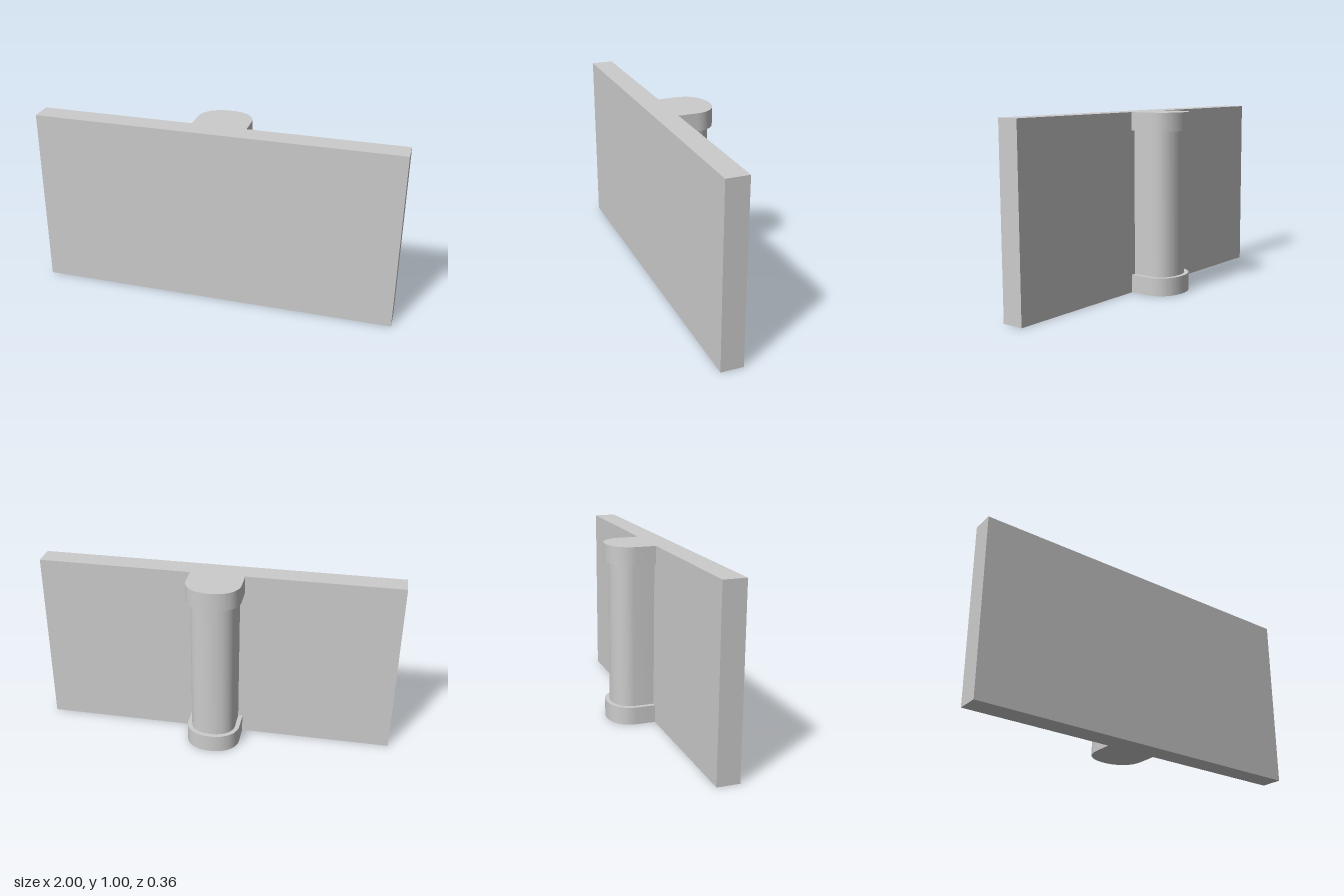
import * as THREE from 'three';
import { toCreasedNormals } from 'three/addons/utils/BufferGeometryUtils.js';

const FRONT = 0.18, PLATE_BACK = 0.057, CAP_H = 0.1, HEIGHT = 1;

// Upright round-nosed bar standing on the back of the plate
function roundedBar(name, halfWidth, reach, y0, y1) {
  const start = 0.05, bulge = reach - start;
  const s = new THREE.Shape();
  s.moveTo(-halfWidth, -PLATE_BACK);
  s.lineTo(halfWidth, -PLATE_BACK);
  s.lineTo(halfWidth, start);
  s.bezierCurveTo(halfWidth, start + bulge * 0.62, halfWidth * 0.58, reach, 0, reach);
  s.bezierCurveTo(-halfWidth * 0.58, reach, -halfWidth, start + bulge * 0.62, -halfWidth, start);
  s.closePath();
  const extruded = new THREE.ExtrudeGeometry(s, { depth: y1 - y0, bevelEnabled: false, curveSegments: 20 });
  extruded.rotateX(-Math.PI / 2).translate(0, y0, 0);
  const mesh = new THREE.Mesh(toCreasedNormals(extruded, 0.6), new THREE.MeshStandardMaterial({ color: 0xcccccc }));
  mesh.name = name;
  return mesh;
}

export function createModel() {
  const group = new THREE.Group();
  group.name = 'panelWithColumn';

  // Flat panel
  const depth = FRONT - PLATE_BACK;
  const panel = new THREE.Mesh(
    new THREE.BoxGeometry(2, HEIGHT, depth),
    new THREE.MeshStandardMaterial({ color: 0xcccccc })
  );
  panel.position.set(0, HEIGHT / 2, PLATE_BACK + depth / 2);
  panel.name = 'panel';
  group.add(panel);

  // Column with a wider base and capital
  group.add(
    roundedBar('columnBase', 0.15, 0.18, 0, CAP_H),
    roundedBar('columnShaft', 0.125, 0.155, CAP_H, HEIGHT - CAP_H),
    roundedBar('columnCapital', 0.15, 0.18, HEIGHT - CAP_H, HEIGHT)
  );
  return group;
}
